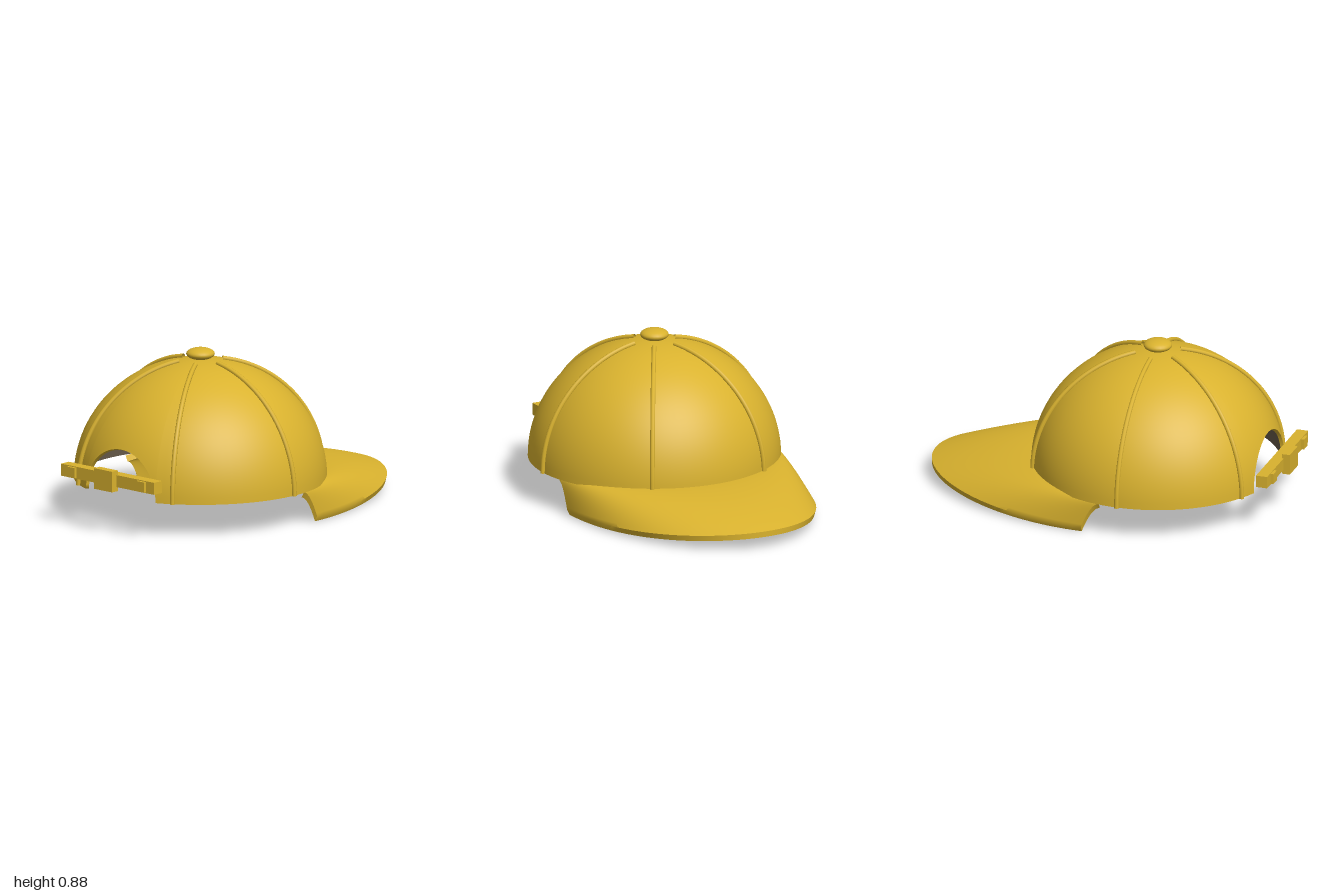
import * as THREE from 'three';
import { mergeVertices, toCreasedNormals } from 'three/addons/utils/BufferGeometryUtils.js';

const CENTER_Z = 0.24, BASE_Y = 0.18, RX = 0.67, RY = 0.64, HOLE = 0.25;
const gold = new THREE.MeshStandardMaterial({ color: 0xd9b22e, side: THREE.DoubleSide });
gold.name = 'gold cloth';
const lining = new THREE.MeshStandardMaterial({ color: 0x665a49, side: THREE.DoubleSide });
lining.name = 'dark lining';

// Surface through a grid of points: f(i, j) returns [x, y, z]
function grid(cols, rows, f) {
  const pos = [], idx = [];
  for (let j = 0; j <= rows; j++) for (let i = 0; i <= cols; i++) pos.push(...f(i, j));
  const w = cols + 1;
  for (let j = 0; j < rows; j++) for (let i = 0; i < cols; i++) {
    const a = j * w + i;
    idx.push(a, a + 1, a + w + 1, a, a + w + 1, a + w);
  }
  let g = new THREE.BufferGeometry();
  g.setAttribute('position', new THREE.Float32BufferAttribute(pos, 3));
  g.setIndex(idx);
  g = mergeVertices(g, 1e-5);
  g.computeVertexNormals();
  return g;
}

function add(group, name, geometry, material = gold, x = 0, y = 0, z = 0) {
  const m = new THREE.Mesh(geometry, material);
  m.name = name;
  m.position.set(x, y, z);
  group.add(m);
  return m;
}

// Column angles round the crown, packed closely at the corners of the rear opening
const A_MAX = Math.asin(HOLE / RX), HOLE_COLS = 32, REST_COLS = 80, COLS = HOLE_COLS + REST_COLS;
function columnAngle(i) {
  if (i <= HOLE_COLS) return -A_MAX * Math.cos(Math.PI * i / HOLE_COLS);
  return A_MAX + (2 * Math.PI - 2 * A_MAX) * (i - HOLE_COLS) / REST_COLS;
}
// Elevation where a column starts: the base, or the arch of the opening
function startElevation(i) {
  if (i >= HOLE_COLS) return 0;
  const s2 = Math.sin(columnAngle(i)) ** 2;
  const q = (HOLE ** 2 - RX * RX * s2) / (RY * RY - RX * RX * s2);
  return Math.asin(Math.sqrt(Math.max(0, q)));
}
function domePoint(angle, elev, inset = 0) {
  const r = (RX - inset) * Math.cos(elev);
  return [r * Math.sin(angle), BASE_Y + (RY - inset) * Math.sin(elev), CENTER_Z + r * Math.cos(angle)];
}

// Brim: curved sheet from the crown out to an oval edge, drooping at the sides
function brimPoint(t, v, under) {
  const b = t * 1.4, c = t * Math.PI / 2;
  const yIn = 0.2 - 0.025 * t ** 6, yOut = 0.095 - 0.065 * Math.sin(c) ** 2;
  const x = THREE.MathUtils.lerp(0.65 * Math.sin(b), 0.645 * Math.sin(c), v);
  const z = THREE.MathUtils.lerp(CENTER_Z - 0.65 * Math.cos(b), 0.03 - 1.03 * Math.cos(c), v);
  const y = yIn + (yOut - yIn) * v ** 1.8;
  return under ? [x - 0.015 * Math.sin(c), y - 0.03, z] : [x, y, z];
}

export function createModel() {
  const cap = new THREE.Group();
  cap.name = 'cap';

  // Crown shell, lining and the rim joining them
  const ROWS = 28, INSET = 0.018;
  const shell = (inset, flip) => grid(COLS, ROWS, (k, j) => {
    const i = flip ? COLS - k : k, s = startElevation(i);
    return domePoint(columnAngle(i), s + (Math.PI / 2 - s) * j / ROWS, inset);
  });
  add(cap, 'crown', shell(0, false));
  add(cap, 'crownLining', shell(INSET, true), lining);
  add(cap, 'crownRim', grid(COLS, 1, (i, j) =>
    domePoint(columnAngle(i), startElevation(i), j ? 0 : INSET)));

  // Six raised seams
  for (let k = 0; k < 6; k++) {
    const angle = Math.PI / 2 + k * Math.PI / 3, pts = [];
    for (let n = 0; n <= 12; n++) {
      const p = domePoint(angle, 1.39 * n / 12, -0.006);
      pts.push(new THREE.Vector3(...p));
    }
    add(cap, 'seam', new THREE.TubeGeometry(new THREE.CatmullRomCurve3(pts), 36, 0.013, 8));
  }

  // Top button
  const button = add(cap, 'topButton', new THREE.SphereGeometry(0.076, 24, 14), gold, 0, 0.848, CENTER_Z);
  button.scale.y = 0.42;

  // Brim: over the top, round the edge and back underneath
  const N = 16;
  add(cap, 'brim', toCreasedNormals(grid(64, 2 * N + 1, (i, j) => {
    const under = j > N;
    return brimPoint(i / 32 - 1, (under ? 2 * N + 1 - j : j) / N, under);
  }), 0.8));
  for (const side of [-1, 1]) {
    add(cap, 'brimEnd', grid(N, 1, (i, j) =>
      brimPoint(side, (side > 0 ? i : N - i) / N, j === 0)));
  }
  add(cap, 'brimInnerEdge', grid(64, 1, (i, j) => brimPoint(i / 32 - 1, 0, j === 0)));

  // Rear strap with buckle and two studs
  add(cap, 'strap', new THREE.BoxGeometry(0.67, 0.065, 0.062), gold, 0, 0.288, 0.934);
  add(cap, 'buckle', new THREE.BoxGeometry(0.13, 0.112, 0.045), gold, 0, 0.288, 0.977);
  for (const side of [-1, 1]) {
    add(cap, 'strapStud', new THREE.BoxGeometry(0.056, 0.056, 0.03), gold, side * 0.25, 0.288, 0.966);
  }
  return cap;
}
